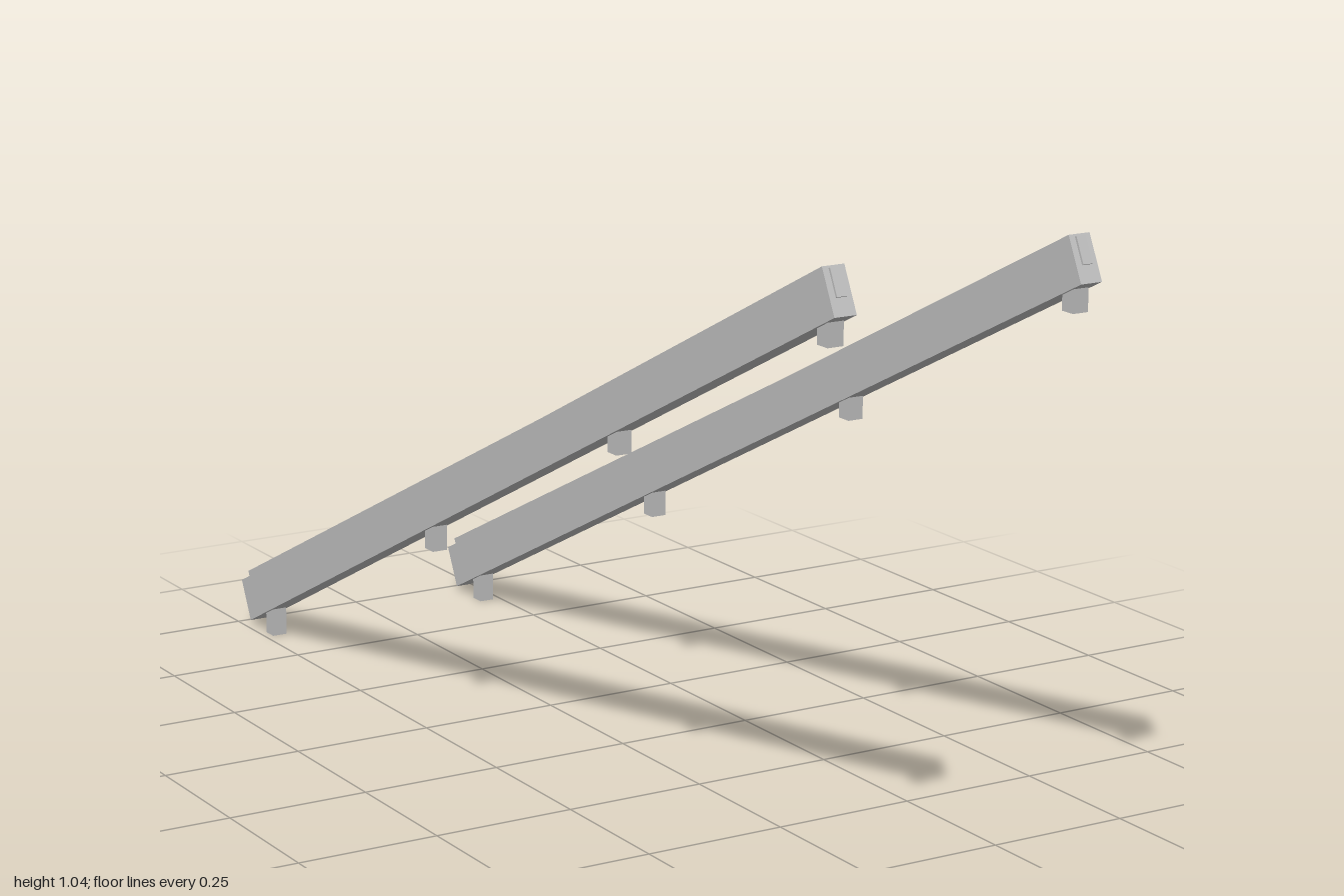
import * as THREE from 'three';

const SLOPE = 0.456;      // incline, rising towards the front
const CENTRE_Y = 0.527;
const DEPTH = 0.078;      // beam depth square to the incline

export function createModel() {
  const grey = new THREE.MeshStandardMaterial({ color: 0xc0c0c0 });
  grey.name = 'lightGrey';

  const model = new THREE.Group();
  model.name = 'inclinedRails';

  function box(name, parent, size, position) {
    const mesh = new THREE.Mesh(new THREE.BoxGeometry(...size), grey);
    mesh.name = name;
    mesh.position.set(...position);
    parent.add(mesh);
    return mesh;
  }

  for (const side of [-1, 1]) {
    const rail = new THREE.Group();
    rail.name = side > 0 ? 'leftRail' : 'rightRail';
    rail.position.x = side * 0.2215;
    model.add(rail);

    // sloping beam with a slightly tilted bar let into its top
    const incline = new THREE.Group();
    incline.name = 'incline';
    incline.position.y = CENTRE_Y;
    incline.rotation.x = -SLOPE;
    rail.add(incline);
    box('beam', incline, [0.039, DEPTH, 2.188], [0, 0, 0]);
    const bar = box('topBar', incline, [0.018, 0.045, 2.178], [0, 0.021, 0.009]);
    bar.rotation.x = 0.0078;

    // short upright feet under the beam
    for (const [z, bottom] of [[0.96, 0.923], [0.36, 0.628], [-0.26, 0.318], [-0.895, 0]]) {
      const underside = CENTRE_Y + z * Math.tan(SLOPE) - DEPTH / 2 / Math.cos(SLOPE);
      const height = underside + 0.02 - bottom;
      box('foot', rail, [0.028, height, 0.028], [0, bottom + height / 2, z]);
    }
  }
  return model;
}
